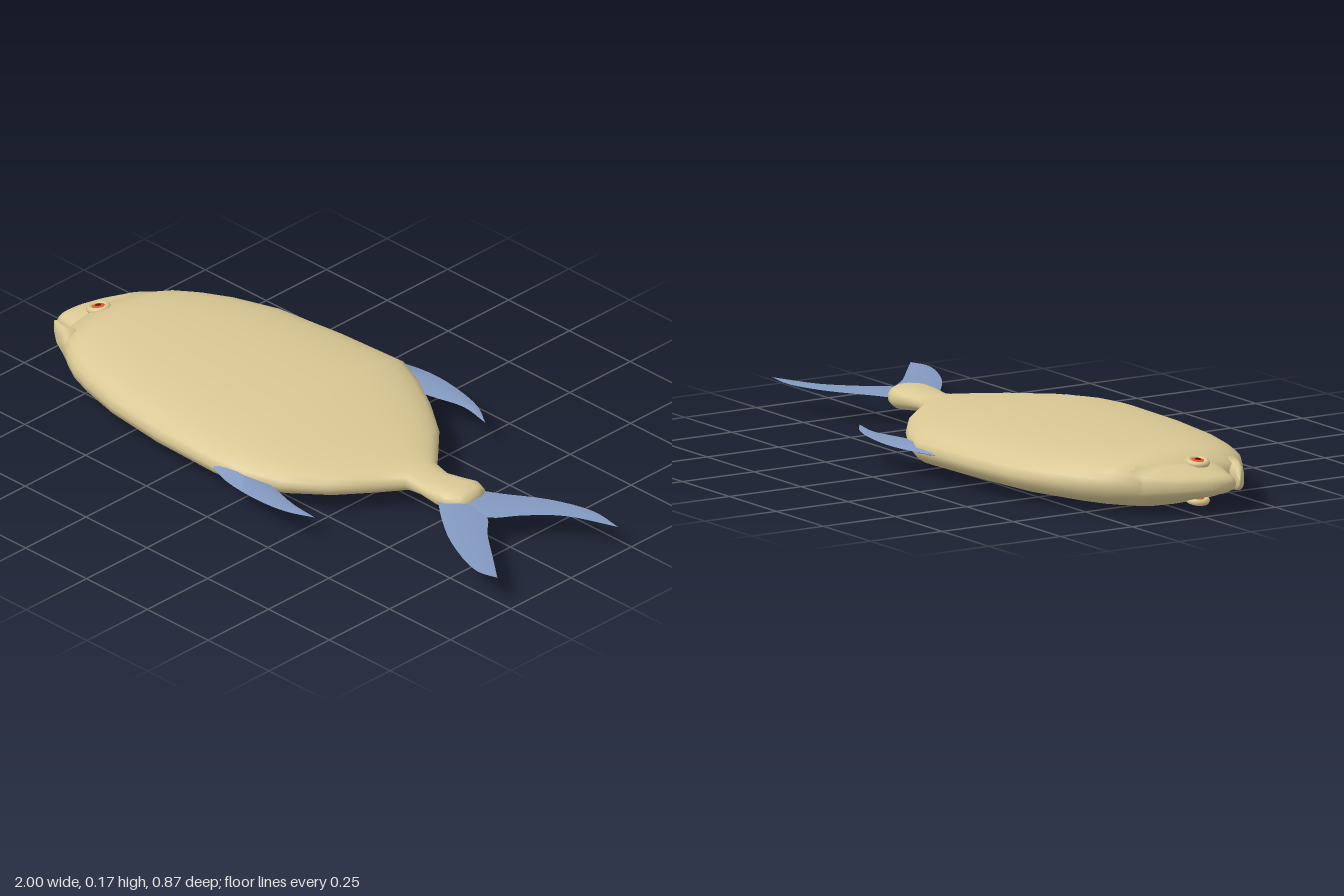
import * as THREE from 'three';
import { toCreasedNormals } from 'three/addons/utils/BufferGeometryUtils.js';

const MID = 0.09; // height of the fish's plane of symmetry
const skin = new THREE.MeshStandardMaterial({ color: 0xd9c894 });
const finMat = new THREE.MeshStandardMaterial({ color: 0x8399c0, side: THREE.DoubleSide });
const irisMat = new THREE.MeshStandardMaterial({ color: 0xe0561c });
const pupilMat = new THREE.MeshStandardMaterial({ color: 0x5a1208 });

// Joins closed rings of points into a surface
function skinRings(rings) {
  const n = rings[0].length, pos = rings.flat(2), index = [];
  for (let i = 0; i < rings.length - 1; i++) {
    for (let j = 0; j < n; j++) {
      const a = i * n + j, b = i * n + (j + 1) % n, c = a + n, d = b + n;
      index.push(a, c, b, b, c, d);
    }
  }
  const geo = new THREE.BufferGeometry();
  geo.setAttribute('position', new THREE.Float32BufferAttribute(pos, 3));
  geo.setIndex(index);
  geo.computeVertexNormals();
  return geo;
}

// Rounded sections along x; each row is [x, zMin, zMax, half thickness]
function loft(name, rows, power) {
  const close = ([x, z0, z1]) => [x, (z0 + z1) / 2, (z0 + z1) / 2, 0];
  const all = [close(rows[0]), ...rows, close(rows[rows.length - 1])];
  const round = v => Math.sign(v) * Math.abs(v) ** (2 / power);
  const rings = all.map(([x, z0, z1, h]) => Array.from({ length: 28 }, (_, j) => {
    const a = j / 28 * Math.PI * 2;
    return [x, MID + h * round(Math.sin(a)), (z0 + z1) / 2 + (z1 - z0) / 2 * round(Math.cos(a))];
  }));
  const mesh = new THREE.Mesh(skinRings(rings), skin);
  mesh.name = name;
  return mesh;
}

// Blade between two [x, z] edges, lens-shaped and thinning to its tip
function fin(name, edgeA, edgeB, thick) {
  const curve = e => new THREE.CatmullRomCurve3(e.map(([x, z]) => new THREE.Vector3(x, MID, z)));
  const a = curve(edgeA).getPoints(16), b = curve(edgeB).getPoints(16);
  const rings = a.map((p, i) => {
    const q = b[i], m = p.clone().lerp(q, 0.5), h = thick * (1 - i / 16);
    return [[p.x, MID, p.z], [m.x, MID + h, m.z], [q.x, MID, q.z], [m.x, MID - h, m.z]];
  });
  const mesh = new THREE.Mesh(toCreasedNormals(skinRings(rings), 0.5), finMat);
  mesh.name = name;
  return mesh;
}

// Eye with raised lid, iris and pupil; side is 1 above, -1 below
function eye(side) {
  const g = new THREE.Group();
  g.name = side > 0 ? 'upperEye' : 'lowerEye';
  const add = (name, geo, mat, y, sy = 1) => {
    const m = new THREE.Mesh(geo, mat);
    m.name = name;
    m.position.y = y;
    m.scale.y = sy;
    g.add(m);
  };
  add('eyelid', new THREE.TorusGeometry(0.027, 0.010, 8, 20).rotateX(Math.PI / 2), skin, 0);
  add('iris', new THREE.SphereGeometry(0.024, 16, 10), irisMat, 0, 0.4);
  add('pupil', new THREE.SphereGeometry(0.011, 12, 8), pupilMat, 0.006, 0.5);
  g.position.set(-0.9, MID + side * 0.056, 0.043);
  g.rotation.set(side < 0 ? Math.PI : 0, 0, side * 0.2);
  return g;
}

export function createModel() {
  const fish = new THREE.Group();
  fish.name = 'fish';

  // Body, narrowing to the tail stem and its rounded end
  fish.add(loft('body', [
    [-0.9, -0.155, 0.2, 0.057],
    [-0.82, -0.23, 0.255, 0.08],
    [-0.76, -0.275, 0.29, 0.085],
    [-0.68, -0.32, 0.32, 0.086],
    [-0.54, -0.372, 0.357, 0.086],
    [-0.33, -0.398, 0.383, 0.086],
    [-0.09, -0.412, 0.39, 0.086],
    [0.02, -0.365, 0.377, 0.079],
    [0.13, -0.3, 0.335, 0.067],
    [0.24, -0.22, 0.25, 0.054],
    [0.32, -0.135, 0.15, 0.044],
    [0.38, -0.07, 0.065, 0.035],
    [0.44, -0.058, 0.063, 0.026],
    [0.5, -0.068, 0.067, 0.034],
    [0.545, -0.08, 0.066, 0.038],
    [0.58, -0.067, 0.048, 0.034],
    [0.597, -0.035, 0.025, 0.02],
  ], 2.3));

  // Upper and lower jaws with the open mouth between them
  fish.add(loft('upperJaw', [
    [-1, 0.03, 0.112, 0.018],
    [-0.985, -0.005, 0.12, 0.028],
    [-0.957, -0.07, 0.127, 0.038],
    [-0.9, -0.153, 0.143, 0.056],
    [-0.85, -0.195, 0.16, 0.066],
  ], 2.5));
  fish.add(loft('lowerJaw', [
    [-0.992, 0.128, 0.136, 0.012],
    [-0.975, 0.131, 0.152, 0.024],
    [-0.94, 0.144, 0.18, 0.035],
    [-0.9, 0.154, 0.2, 0.043],
    [-0.86, 0.13, 0.225, 0.05],
  ], 2.5));

  fish.add(eye(1), eye(-1));

  // Forked tail
  fish.add(fin('upperTailLobe',
    [[0.5, -0.04], [0.6, -0.085], [0.74, -0.17], [0.88, -0.213], [0.995, -0.2]],
    [[0.5, 0.05], [0.685, 0.03], [0.75, -0.05], [0.84, -0.135], [0.995, -0.2]], 0.012));
  fish.add(fin('lowerTailLobe',
    [[0.5, 0.05], [0.59, 0.125], [0.71, 0.205], [0.88, 0.27], [0.95, 0.255]],
    [[0.5, -0.04], [0.685, 0.03], [0.75, 0.095], [0.85, 0.175], [0.95, 0.255]], 0.012));

  // Back and belly fins
  fish.add(fin('backFin',
    [[-0.2, -0.405], [-0.02, -0.44], [0.11, -0.43], [0.22, -0.4], [0.3, -0.35]],
    [[-0.2, -0.36], [-0.05, -0.33], [0.075, -0.345], [0.19, -0.37], [0.3, -0.35]], 0.018));
  fish.add(fin('bellyFin',
    [[-0.1, 0.385], [0, 0.42], [0.14, 0.432], [0.245, 0.42], [0.33, 0.385]],
    [[-0.1, 0.35], [0, 0.33], [0.11, 0.345], [0.23, 0.375], [0.33, 0.385]], 0.018));

  return fish;
}
